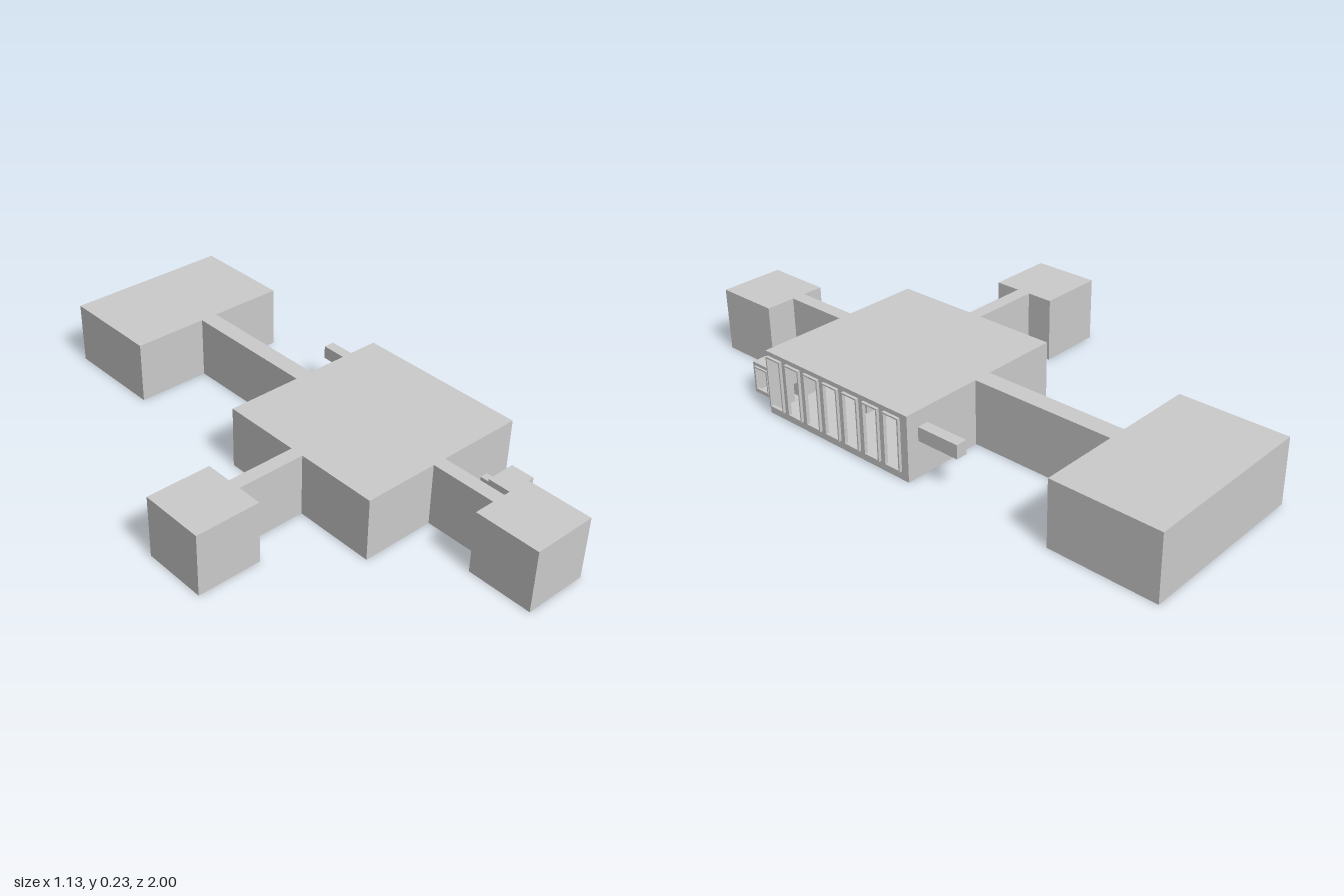
import * as THREE from 'three';

const material = new THREE.MeshStandardMaterial({ color: 0xcccccc, side: THREE.DoubleSide, flatShading: true });
const HEIGHT = 0.227;

function add(parent, name, geometry, x = 0, y = 0, z = 0) {
  const mesh = new THREE.Mesh(geometry, material);
  mesh.name = name;
  mesh.position.set(x, y, z);
  parent.add(mesh);
  return mesh;
}

function box(parent, name, x0, x1, y0, y1, z0, z1) {
  return add(parent, name, new THREE.BoxGeometry(x1 - x0, y1 - y0, z1 - z0),
    (x0 + x1) / 2, (y0 + y1) / 2, (z0 + z1) / 2);
}

const rect = (Type, u0, u1, v0, v1) =>
  new Type([[u0, v0], [u1, v0], [u1, v1], [u0, v1]].map(p => new THREE.Vector2(...p)));

// Thin upright wall from plan point a to b; holes are [u0, u1, v0, v1]
function wall(parent, name, a, b, height, holes = []) {
  const dx = b[0] - a[0], dz = b[1] - a[1];
  const shape = rect(THREE.Shape, 0, Math.hypot(dx, dz), 0, height);
  shape.holes = holes.map(h => rect(THREE.Path, ...h));
  add(parent, name, new THREE.ShapeGeometry(shape), a[0], 0, a[1]).rotation.y = Math.atan2(-dz, dx);
}

// Flat plan at height y
function slab(parent, name, points, y, holes = []) {
  const shape = new THREE.Shape(points.map(([x, z]) => new THREE.Vector2(x, -z)));
  shape.holes = holes;
  add(parent, name, new THREE.ShapeGeometry(shape).rotateX(-Math.PI / 2), 0, y, 0);
}

// Protruding frame on a wall that faces +x
function frame(parent, name, x, y0, y1, z0, z1, depth) {
  const t = 0.005;
  const shape = rect(THREE.Shape, -z1, -z0, y0, y1);
  shape.holes = [rect(THREE.Path, -z1 + t, -z0 - t, y0 + t, y1 - t)];
  const geometry = new THREE.ExtrudeGeometry(shape, { depth, bevelEnabled: false });
  add(parent, name, geometry, x, 0, 0).rotation.y = Math.PI / 2;
}

export function createModel() {
  const model = new THREE.Group();
  model.name = 'buildingComplex';

  // Plan of the main hall with its front, back and side rooms and corridors
  const plan = [
    [-0.082, 0.527], [0.19, 0.527], [0.19, 0.765], [0.115, 0.765], [0.115, 1], [0.348, 1],
    [0.348, 0.765], [0.24, 0.765], [0.24, 0.527], [0.555, 0.527], [0.555, -0.11], [0.26, -0.11],
    [0.26, -0.625], [0.535, -0.625], [0.535, -1], [-0.08, -1], [-0.08, -0.625], [0.195, -0.625],
    [0.195, -0.11], [-0.082, -0.11], [-0.082, 0.18], [-0.332, 0.18], [-0.332, 0.085],
    [-0.567, 0.085], [-0.567, 0.322], [-0.332, 0.322], [-0.332, 0.23], [-0.082, 0.23],
  ];

  // Seven tall windows in the hall's window wall
  const windowZ = Array.from({ length: 7 }, (_, i) => 0.484 - i * 0.0888);
  const windowHoles = windowZ.map(z => [0.527 - z - 0.028, 0.527 - z + 0.028, 0.033, 0.207]);
  const hall = new THREE.Group();
  hall.name = 'hallAndRooms';
  model.add(hall);
  plan.forEach((a, i) => {
    const b = plan[(i + 1) % plan.length];
    const isWindowWall = i === 9, isFrontWall = i === 8;
    const holes = isWindowWall ? windowHoles : isFrontWall ? [[0.185, 0.215, 0.002, 0.064]] : [];
    wall(hall, isWindowWall ? 'windowWall' : 'wall', a, b, HEIGHT, holes);
  });
  windowZ.forEach(z => frame(hall, 'windowFrame', 0.553, 0.028, 0.212, z - 0.033, z + 0.033, 0.012));

  // Four hollow pillars standing on openings in the floor
  const r = 0.02, pillarHoles = [];
  for (const x of [0.145, 0.335]) {
    for (const z of [0.065, 0.305]) {
      pillarHoles.push(rect(THREE.Path, x - r, x + r, -z - r, -z + r));
      const corners = [[x - r, z + r], [x + r, z + r], [x + r, z - r], [x - r, z - r]];
      corners.forEach((a, i) => wall(hall, 'pillarSide', a, corners[(i + 1) % 4], HEIGHT));
    }
  }
  slab(hall, 'floor', plan, 0, pillarHoles);
  slab(hall, 'roof', plan, HEIGHT);

  // Small entrance hut with a framed doorway and a low passage to the hall
  const hut = new THREE.Group();
  hut.name = 'entranceHut';
  model.add(hut);
  const hutPlan = [[0.385, 0.678], [0.498, 0.678], [0.498, 0.59], [0.385, 0.59]];
  const hutHoles = [[], [[0.017, 0.071, 0.02, 0.097]], [[0.043, 0.073, 0.002, 0.064]], []];
  hutPlan.forEach((a, i) => wall(hut, 'hutWall', a, hutPlan[(i + 1) % 4], 0.113, hutHoles[i]));
  slab(hut, 'hutFloor', hutPlan, 0);
  slab(hut, 'hutRoof', hutPlan, 0.113);
  frame(hut, 'doorFrame', 0.496, 0.015, 0.102, 0.602, 0.666, 0.009);
  const passage = [[0.425, 0.59], [0.455, 0.59], [0.455, 0.527], [0.425, 0.527]];
  wall(hut, 'passageWall', passage[1], passage[2], 0.066);
  wall(hut, 'passageWall', passage[3], passage[0], 0.066);
  slab(hut, 'passageFloor', passage, 0);
  slab(hut, 'passageRoof', passage, 0.066);

  // Raised duct on the back wall, with a slanted strip running down the wall
  box(model, 'backDuct', 0.47, 0.51, 0.125, 0.173, -0.267, -0.11);
  const strip = new THREE.BoxGeometry(0.14, 0.012, 0.004);
  add(model, 'slantedStrip', strip, 0.42, 0.082, -0.111).rotation.z = 0.7;

  return model;
}
